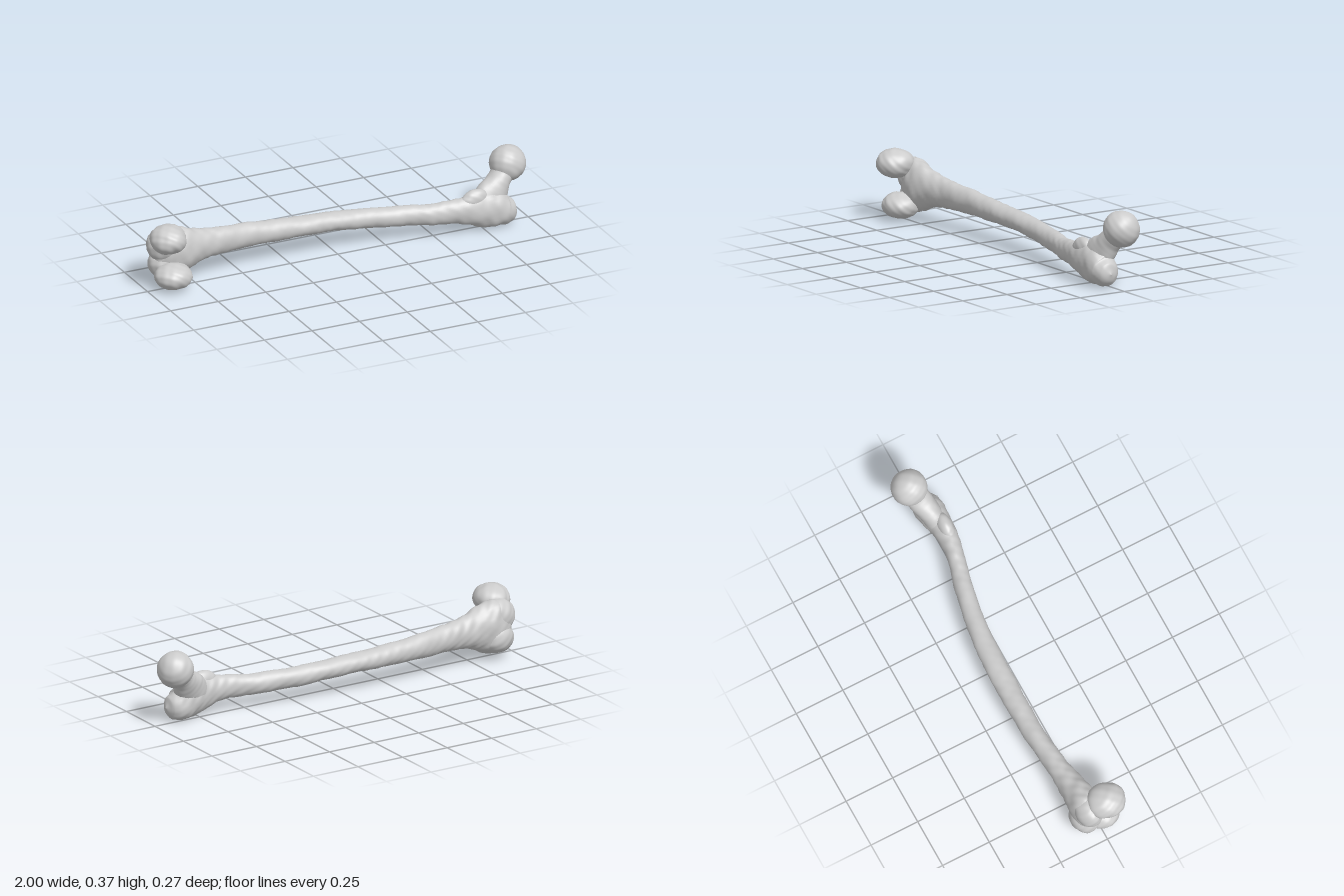
import * as THREE from 'three';
import { mergeVertices } from 'three/addons/utils/BufferGeometryUtils.js';

const material = new THREE.MeshStandardMaterial({ color: 0xcccccc });
const V = (x, y, z) => new THREE.Vector3(x, y, z);

// Gentle, repeatable bumps that give the bone its uneven surface
function bumps(x, y, z) {
  return 0.45 * Math.sin(31 * x + 17 * y + 9 * z) * Math.cos(23 * y - 37 * z + 5 * x)
    + 0.35 * Math.sin(67 * x - 41 * z + 2) * Math.cos(59 * y + 29 * x)
    + 0.3 * Math.sin(113 * x + 83 * y) * Math.sin(97 * z - 71 * y + 1);
}

// Smooth loft through oval sections [x, y, z, radius along up, radius across]
function loft(name, sections, up, rough = 0.06, sides = 40, perSection = 10) {
  const centres = new THREE.CatmullRomCurve3(sections.map(s => V(s[0], s[1], s[2])), false, 'catmullrom');
  const radii = new THREE.CatmullRomCurve3(sections.map(s => V(s[3], s[4], 0)), false, 'catmullrom');
  const rings = (sections.length - 1) * perSection;
  const positions = [], index = [];
  for (let i = 0; i <= rings; i++) {
    const c = centres.getPoint(i / rings), t = centres.getTangent(i / rings), r = radii.getPoint(i / rings);
    const u = up.clone().addScaledVector(t, -up.dot(t)).normalize();
    const s = t.clone().cross(u);
    for (let j = 0; j < sides; j++) {
      const a = j / sides * Math.PI * 2;
      const d = u.clone().multiplyScalar(Math.cos(a) * Math.max(r.x, 0))
        .addScaledVector(s, Math.sin(a) * Math.max(r.y, 0));
      d.multiplyScalar(1 + rough * bumps(c.x + d.x, c.y + d.y, c.z + d.z));
      positions.push(c.x + d.x, c.y + d.y, c.z + d.z);
      if (i < rings) {
        const p = i * sides + j, q = i * sides + (j + 1) % sides;
        index.push(p, q, p + sides, q, q + sides, p + sides);
      }
    }
  }
  const g = new THREE.BufferGeometry();
  g.setAttribute('position', new THREE.Float32BufferAttribute(positions, 3));
  g.setIndex(index);
  return finish(name, g);
}

// Rounded knob: an ellipsoid with the same bumps
function knob(name, centre, radii, rough = 0.05, tilt = 0) {
  let g = new THREE.IcosahedronGeometry(1, 14);
  g.deleteAttribute('normal');
  g.deleteAttribute('uv');
  g = mergeVertices(g);
  g.scale(...radii).rotateZ(tilt);
  const p = g.attributes.position;
  for (let i = 0; i < p.count; i++) {
    const d = V().fromBufferAttribute(p, i);
    d.multiplyScalar(1 + rough * bumps(centre[0] + d.x, centre[1] + d.y, centre[2] + d.z));
    p.setXYZ(i, centre[0] + d.x, centre[1] + d.y, centre[2] + d.z);
  }
  return finish(name, g);
}

function finish(name, geometry) {
  geometry.computeVertexNormals();
  const mesh = new THREE.Mesh(geometry, material);
  mesh.name = name;
  return mesh;
}

export function createModel() {
  const bone = new THREE.Group();
  bone.name = 'thighBone';

  // Bowed shaft, flaring to the knee end and into the greater trochanter
  bone.add(loft('shaft', [
    [-0.955, 0.165, -0.055, 0, 0],
    [-0.935, 0.165, -0.055, 0.09, 0.045],
    [-0.87, 0.17, -0.05, 0.13, 0.07],
    [-0.8, 0.17, -0.045, 0.112, 0.073],
    [-0.7, 0.17, -0.055, 0.081, 0.058],
    [-0.6, 0.167, -0.067, 0.068, 0.05],
    [-0.4, 0.158, -0.083, 0.058, 0.049],
    [-0.2, 0.15, -0.083, 0.05, 0.053],
    [0, 0.145, -0.078, 0.046, 0.053],
    [0.2, 0.131, -0.06, 0.048, 0.047],
    [0.4, 0.121, -0.022, 0.05, 0.044],
    [0.5, 0.118, 0.004, 0.053, 0.042],
    [0.6, 0.12, 0.027, 0.06, 0.044],
    [0.7, 0.115, 0.032, 0.08, 0.054],
    [0.8, 0.1, 0.027, 0.092, 0.068],
    [0.86, 0.08, 0.022, 0.075, 0.068],
    [0.905, 0.076, 0.025, 0.05, 0.045],
    [0.925, 0.076, 0.025, 0, 0],
  ], V(0, 1, 0), 0.07));

  // Neck rising from the trochanter to the head
  bone.add(loft('neck', [
    [0.73, 0.1, 0.025, 0.06, 0.045],
    [0.8, 0.16, 0.008, 0.084, 0.056],
    [0.853, 0.22, -0.015, 0.056, 0.06],
    [0.905, 0.285, -0.04, 0.055, 0.065],
  ], V(0, 0, 1).cross(V(0.6, 0.8, 0)), 0.04));

  // Ball of the hip joint and the small knob below the neck
  bone.add(knob('head', [0.912, 0.287, -0.041], [0.088, 0.088, 0.088], 0.03));
  bone.add(knob('lesserTrochanter', [0.7, 0.168, 0.038], [0.07, 0.05, 0.036], 0.06, 0.15));

  // Two condyles of the knee joint, with a notch between them
  bone.add(knob('medialCondyle', [-0.912, 0.276, 0.04], [0.088, 0.07, 0.094]));
  bone.add(knob('lateralCondyle', [-0.88, 0.077, 0.03], [0.092, 0.063, 0.09]));

  // Lips of the kneecap groove on the back face
  bone.add(knob('medialLip', [-0.895, 0.215, -0.045], [0.085, 0.085, 0.068]));
  bone.add(knob('lateralLip', [-0.88, 0.115, -0.058], [0.085, 0.078, 0.073]));

  return bone;
}
